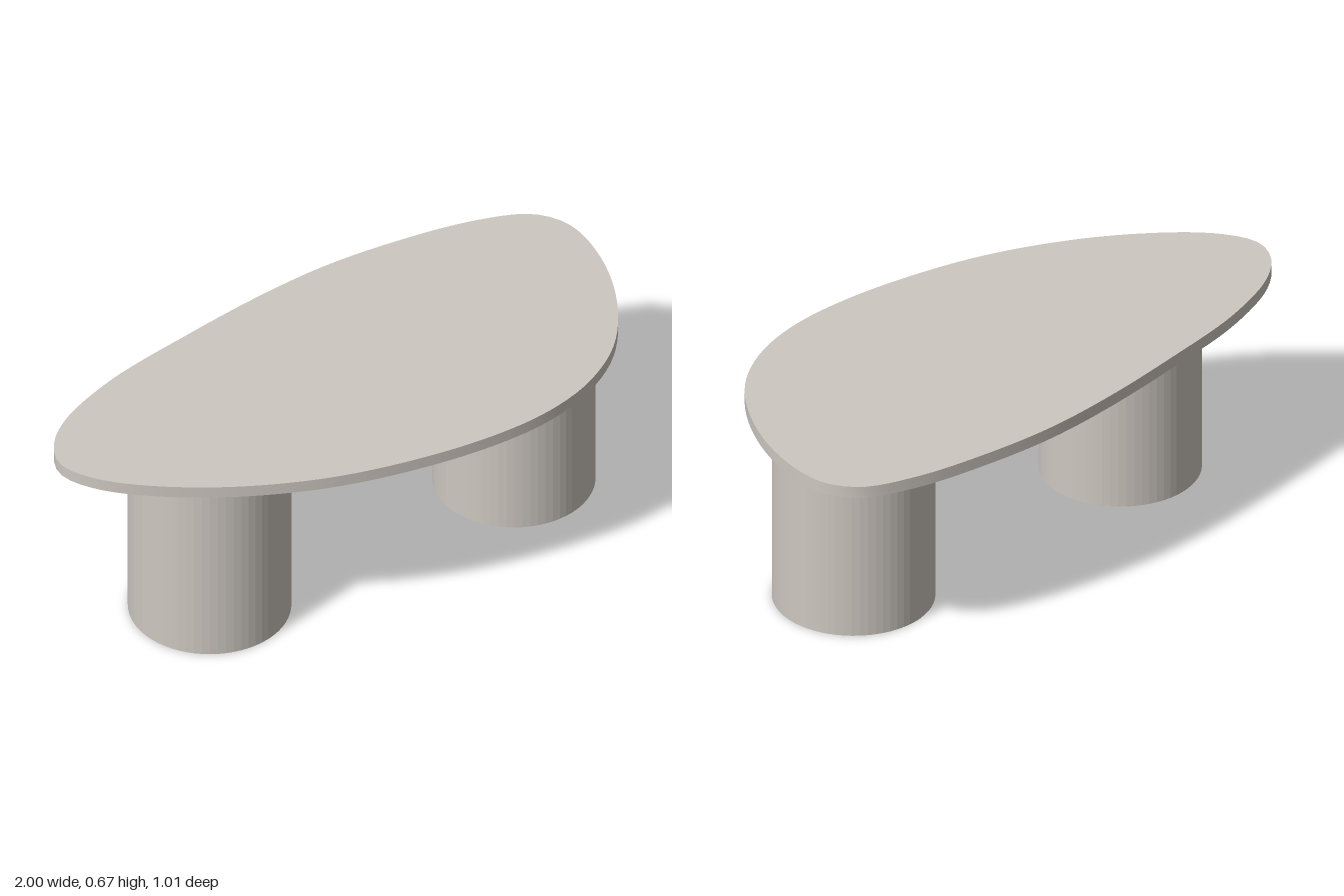
import * as THREE from 'three';
import { toCreasedNormals } from 'three/addons/utils/BufferGeometryUtils.js';

const HEIGHT = 0.67, THICKNESS = 0.04, LEG_RADIUS = 0.255;

// Pebble-shaped outline of the top, as x, z pairs
const OUTLINE = [
  [-1, -0.13], [-0.97, -0.22], [-0.87, -0.31], [-0.64, -0.4], [-0.3, -0.46], [0, -0.497],
  [0.25, -0.508], [0.5, -0.487], [0.75, -0.44], [0.92, -0.37], [0.985, -0.285], [1, -0.19],
  [0.965, 0], [0.87, 0.2], [0.75, 0.345], [0.6, 0.44], [0.45, 0.487], [0.28, 0.503],
  [0, 0.478], [-0.36, 0.385], [-0.7, 0.21], [-0.94, 0],
];

export function createModel() {
  const group = new THREE.Group();
  group.name = 'coffeeTable';
  const stone = new THREE.MeshStandardMaterial({ color: 0xcdc7c0 });
  stone.name = 'warm grey stone';

  // Table top: smooth closed curve, extruded and laid flat
  const curve = new THREE.CatmullRomCurve3(
    OUTLINE.map(([x, z]) => new THREE.Vector3(x, z, 0)), true);
  const points = curve.getSpacedPoints(128).slice(0, -1);
  const shape = new THREE.Shape(points.map((p) => new THREE.Vector2(p.x, p.y)));
  const slab = new THREE.ExtrudeGeometry(shape, { depth: THICKNESS, bevelEnabled: false });
  slab.rotateX(Math.PI / 2);
  const top = new THREE.Mesh(toCreasedNormals(slab, 0.6), stone);
  top.name = 'tableTop';
  top.position.y = HEIGHT;
  group.add(top);

  // Two thick faceted drum legs
  const legHeight = HEIGHT - THICKNESS;
  const drum = toCreasedNormals(
    new THREE.CylinderGeometry(LEG_RADIUS, LEG_RADIUS, legHeight, 64), 0.01);
  for (const [name, x] of [['rightLeg', -0.53], ['leftLeg', 0.615]]) {
    const leg = new THREE.Mesh(drum, stone);
    leg.name = name;
    leg.position.set(x, legHeight / 2, -0.003);
    group.add(leg);
  }
  return group;
}
